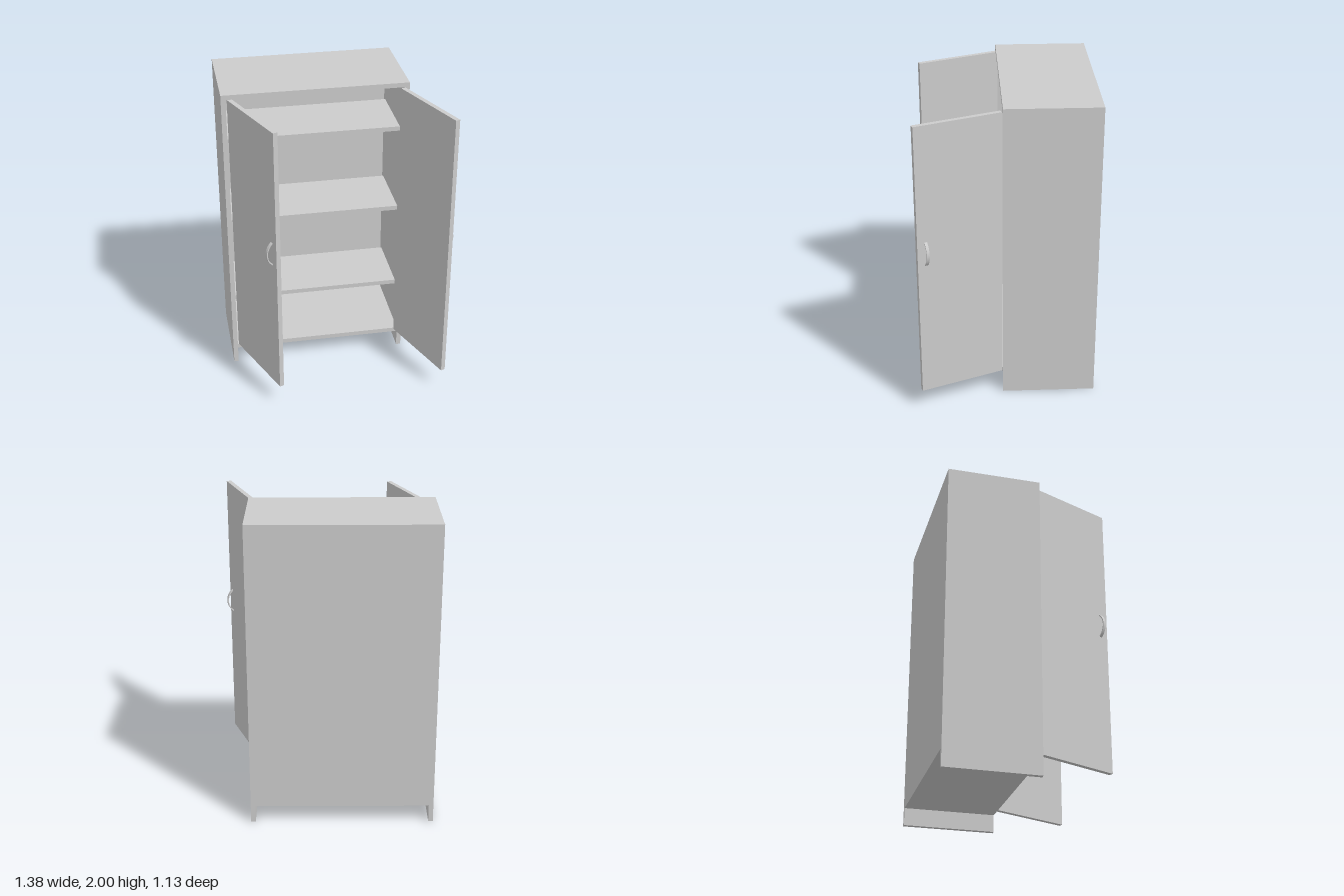
import * as THREE from 'three';

const material = new THREE.MeshStandardMaterial({ color: 0xcccccc });
const T = 0.03; // board thickness

// Board spanning the given x, y and z ranges
function board(name, x0, x1, y0, y1, z0, z1) {
  const mesh = new THREE.Mesh(new THREE.BoxGeometry(x1 - x0, y1 - y0, z1 - z0), material);
  mesh.position.set((x0 + x1) / 2, (y0 + y1) / 2, (z0 + z1) / 2);
  mesh.name = name;
  return mesh;
}

// Flat bow handle: an arc band bulging towards local +x
function handle(side) {
  const half = Math.asin(0.8), outer = 0.1, inner = 0.093, width = 0.018;
  const shape = new THREE.Shape();
  shape.absarc(0, 0, outer, -half, half, false);
  shape.absarc(0, 0, inner, half, -half, true);
  shape.closePath();
  const geometry = new THREE.ExtrudeGeometry(shape, { depth: width, bevelEnabled: false, curveSegments: 16 });
  geometry.translate(-outer * Math.cos(half), 0, -width / 2);
  if (side < 0) geometry.rotateZ(Math.PI);
  const mesh = new THREE.Mesh(geometry, material);
  mesh.name = 'handle';
  mesh.position.set(side * T / 2, 1.135, 0.505);
  return mesh;
}

// Door standing open: hinge at the group origin, panel running along local +z
function door(name, side, x, z, degrees) {
  const group = new THREE.Group();
  group.name = name;
  group.add(board('doorPanel', -T / 2, T / 2, 0.145, 1.97, 0, 0.56), handle(side));
  group.position.set(x, 0, z);
  group.rotation.y = THREE.MathUtils.degToRad(degrees);
  return group;
}

export function createModel() {
  const model = new THREE.Group();
  model.name = 'cabinet';
  const left = 0.49, right = -0.69, back = -0.57, front = 0.03;

  // Carcass; the side boards run down to the floor as feet
  model.add(
    board('leftSide', left - T, left, 0, 2, back, front),
    board('rightSide', right, right + T, 0, 2, back, front),
    board('top', right + T, left - T, 2 - T, 2, back, front),
    board('bottom', right + T, left - T, 0.115, 0.145, back, front),
    board('backPanel', right + T, left - T, 0.145, 2 - T, back, back + T),
  );

  // Recessed shelves
  for (const y of [0.45, 1.04, 1.625]) {
    model.add(board('shelf', right + T, left - T, y, y + T, -0.51, -0.07));
  }

  // Open doors, handles on their outer faces
  model.add(door('rightDoor', -1, -0.639, 0.023, 22.5));
  model.add(door('leftDoor', 1, 0.4465, 0.0385, 21.7));
  return model;
}
